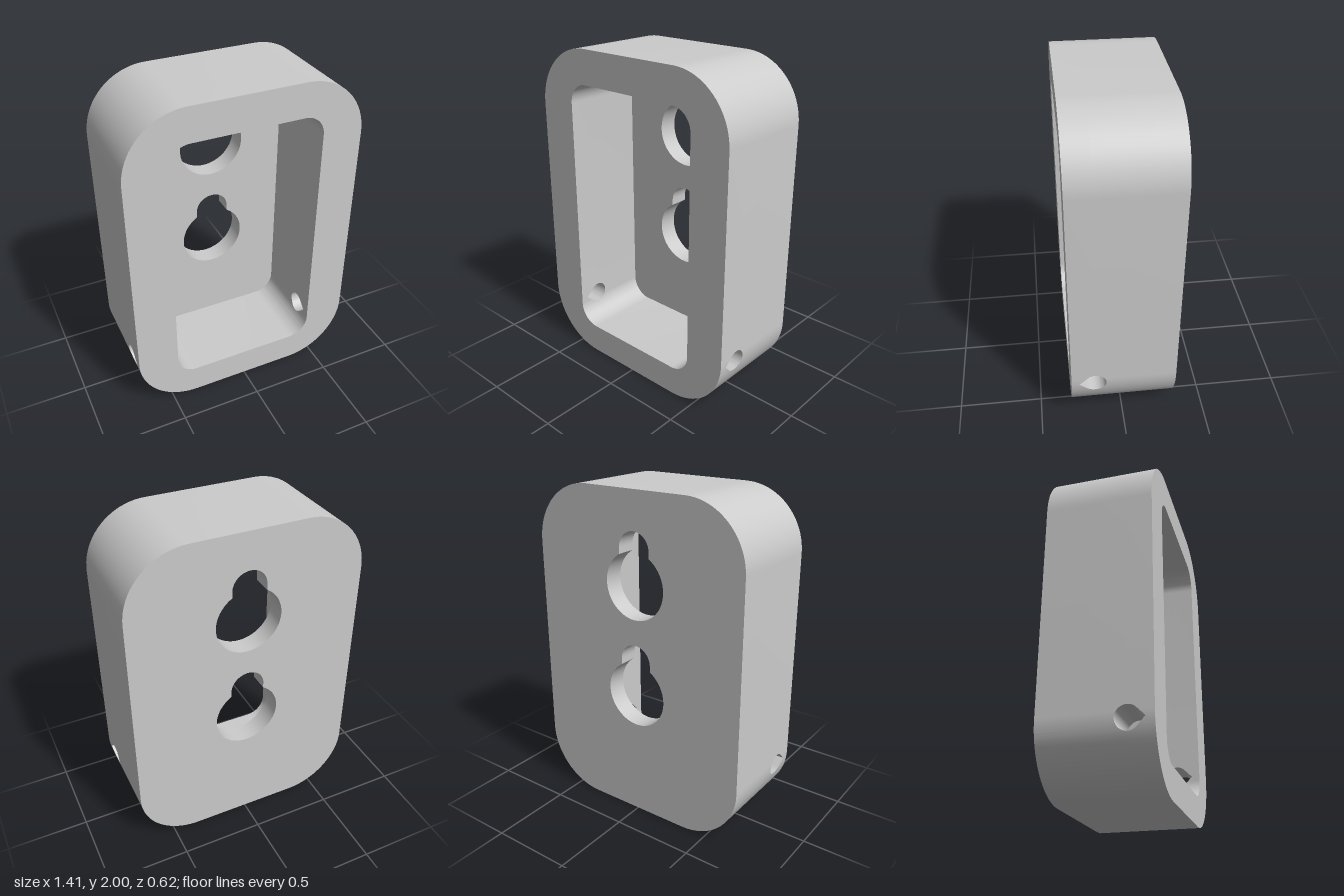
import * as THREE from 'three';
import { mergeGeometries, toCreasedNormals } from 'three/addons/utils/BufferGeometryUtils.js';

const BACK = -0.31, FRONT = 0.31, FLOOR = -0.19;
const OUTER = { w: 0.707, y0: 0, y1: 2, r: 0.37 };
const CAVITY = { w: 0.458, y0: 0.185, y1: 1.795, r: 0.125 };
const HOLE = { y: 0.335, z: 0.17, r: 0.066 }; // teardrop cross hole, tip towards the front
const KEYHOLES = [0.795, 1.462];

// Heights at which the teardrop is sampled
const holeYs = Array.from({ length: 25 }, (_, i) =>
  HOLE.y + HOLE.r * Math.sin((i / 24 - 0.5) * Math.PI));

// Back and front limits of the teardrop at height y (equal outside it)
function holeSpan(y) {
  const dy = Math.min(Math.abs(y - HOLE.y), HOLE.r);
  const half = Math.sqrt(HOLE.r ** 2 - dy ** 2);
  const tip = dy < HOLE.r * Math.SQRT1_2 ? HOLE.r * Math.SQRT2 - dy : half;
  return [HOLE.z - half, HOLE.z + tip];
}

// Half width of a rounded rectangle at height y
function halfWidth({ w, y0, y1, r }, y) {
  const d = Math.min(r, Math.max(0, y0 + r - y, y - (y1 - r)));
  return w - r + Math.sqrt(r * r - d * d);
}

// Counter-clockwise rounded rectangle, with extra points where the hole passes
function outline(rect) {
  const ys = [...holeYs];
  for (let i = 0; i <= 20; i++) {
    const d = rect.r * (1 - Math.cos((i / 20) * Math.PI / 2));
    ys.push(rect.y0 + d, rect.y1 - d);
  }
  const right = ys.sort((a, b) => a - b)
    .filter((y, i) => i === 0 || y - ys[i - 1] > 1e-5)
    .map(y => new THREE.Vector2(halfWidth(rect, y), y));
  const left = right.map(p => new THREE.Vector2(-p.x, p.y)).reverse();
  return [...right, ...left];
}

// Large round opening with a narrow slot above, counter-clockwise
function keyhole(cy) {
  const R = 0.2, r = 0.104, slotY = cy + 0.208;
  const a = Math.acos(r / R), pts = [];
  for (let i = 0; i <= 48; i++) {
    const t = Math.PI - a + (i / 48) * (Math.PI + 2 * a);
    pts.push(new THREE.Vector2(R * Math.cos(t), cy + R * Math.sin(t)));
  }
  for (let i = 0; i <= 24; i++) {
    const t = (i / 24) * Math.PI;
    pts.push(new THREE.Vector2(r * Math.cos(t), slotY + r * Math.sin(t)));
  }
  return pts;
}

// Collects quads into one geometry
function quadGeometry(quads) {
  const pos = [];
  for (const [a, b, c, d] of quads) for (const p of [a, b, c, a, c, d]) pos.push(...p);
  const g = new THREE.BufferGeometry();
  g.setAttribute('position', new THREE.Float32BufferAttribute(pos, 3));
  return toCreasedNormals(g, 0.6);
}

// Wall following a closed outline; zRanges(y) lists the solid parts of its depth
function wall(points, zRanges, inward) {
  const quads = [];
  points.forEach((p, i) => {
    const q = points[(i + 1) % points.length];
    const rp = zRanges(p.y), rq = zRanges(q.y);
    rp.forEach(([p0, p1], k) => {
      const [q0, q1] = rq[k];
      const quad = [[p.x, p.y, p0], [q.x, q.y, q0], [q.x, q.y, q1], [p.x, p.y, p1]];
      quads.push(inward ? quad.reverse() : quad);
    });
  });
  return quadGeometry(quads);
}

// Flat face with openings
function face(points, holes, z, backwards) {
  const shape = new THREE.Shape(points);
  shape.holes = holes.map(h => new THREE.Path(h));
  const g = new THREE.ShapeGeometry(shape).toNonIndexed();
  g.deleteAttribute('uv');
  if (backwards) {
    g.scale(-1, 1, 1).rotateY(Math.PI); // mirrors z, reversing the winding
    const p = g.attributes.position;
    for (let i = 0; i < p.count; i += 3) {
      const b = [p.getX(i + 1), p.getY(i + 1)];
      p.setXY(i + 1, p.getX(i + 2), p.getY(i + 2));
      p.setXY(i + 2, ...b);
    }
    g.computeVertexNormals();
  }
  return g.translate(0, 0, z);
}

// Teardrop tunnel through one side wall
function tunnel(side) {
  const quads = [];
  for (let i = 0; i < holeYs.length - 1; i++) {
    const [y, v] = [holeYs[i], holeYs[i + 1]];
    for (const k of [0, 1]) {
      const z = holeSpan(y)[k], w = holeSpan(v)[k];
      const quad = [
        [side * halfWidth(CAVITY, y), y, z], [side * halfWidth(OUTER, y), y, z],
        [side * halfWidth(OUTER, v), v, w], [side * halfWidth(CAVITY, v), v, w],
      ];
      quads.push((k === 1) !== (side < 0) ? quad.reverse() : quad);
    }
  }
  return quadGeometry(quads);
}

export function createModel() {
  const group = new THREE.Group();
  group.name = 'wallMountHousing';
  const material = new THREE.MeshStandardMaterial({ color: 0xcccccc });
  const add = (name, ...parts) => {
    const mesh = new THREE.Mesh(parts.length > 1 ? mergeGeometries(parts) : parts[0], material);
    mesh.name = name;
    group.add(mesh);
  };

  const outer = outline(OUTER), cavity = outline(CAVITY);
  const keyholes = KEYHOLES.map(keyhole);
  const around = back => y => {
    const [lo, hi] = holeSpan(y);
    return [[back, lo], [hi, FRONT]];
  };

  add('outerWall', wall(outer, around(BACK), false));
  add('cavityWall', wall(cavity, around(FLOOR), true));
  add('frontRim', face(outer, [cavity], FRONT, false));

  // Back plate with its two hanging openings
  add('cavityFloor', face(cavity, keyholes, FLOOR, false));
  add('backFace', face(outer, keyholes, BACK, true));
  add('keyholeEdges', ...keyholes.map(k => wall(k, () => [[BACK, FLOOR]], true)));

  // Cross hole through both side walls
  add('sideHoles', tunnel(1), tunnel(-1));
  return group;
}
